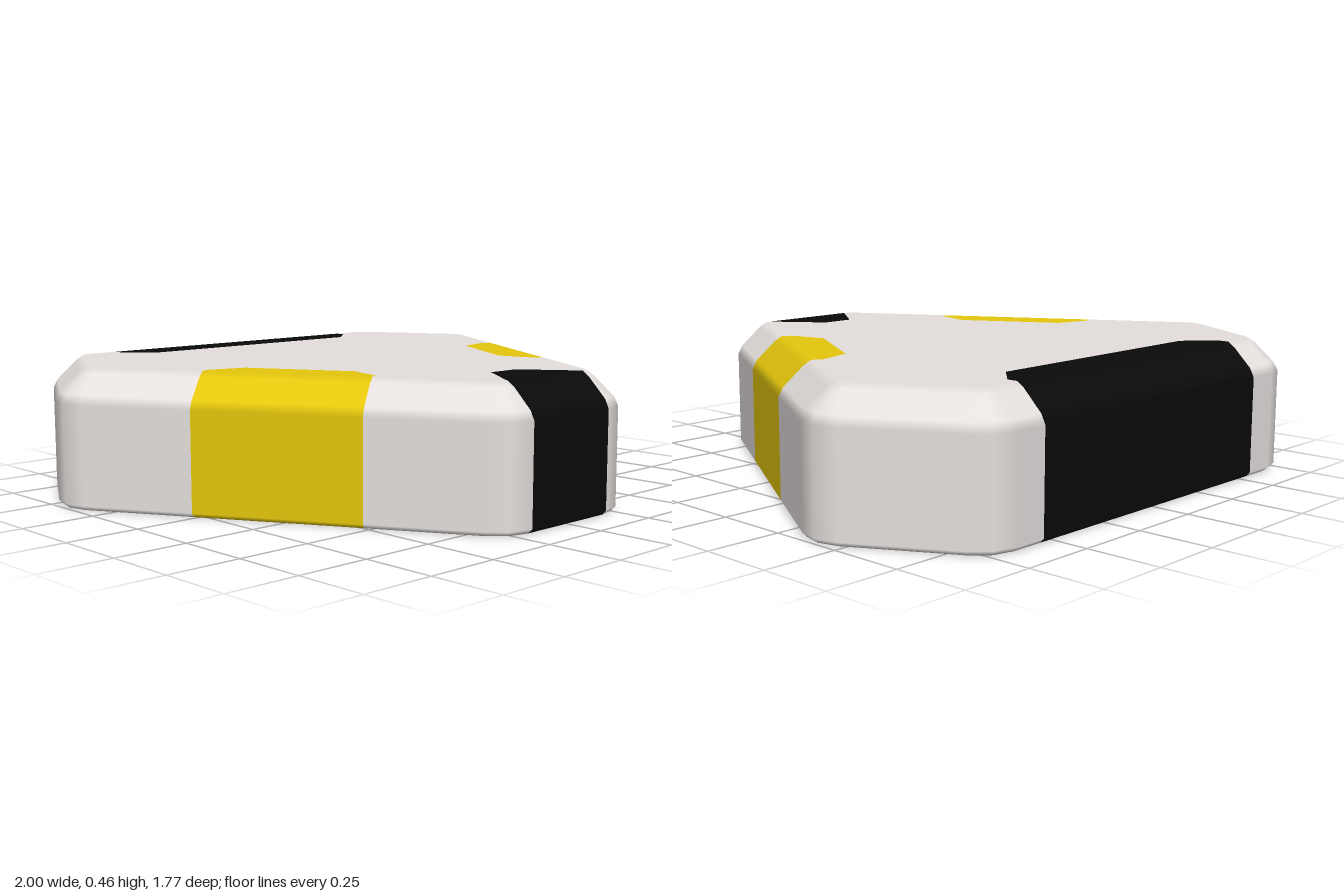
import * as THREE from 'three';

const BLACK = 0x0a0a0a, YELLOW = 0xe6c80d, SHELL = 0xe6e1df;
const R = 0.15; // corner radius in plan

// Six sides, 60 degrees apart: distance from the centre and an optional wrap-around pad
// (mid, half: position along the side; knee, depth, inner: outline on the flat faces)
const SIDES = [
  { d: 0.883, pad: { name: 'frontPad', color: BLACK, mid: 0, half: 0.185, knee: 0.11, depth: 0.28, inner: 0.06 } },
  { d: 0.68, pad: { name: 'leftPad', color: YELLOW, mid: 0.118, half: 0.282, knee: 0.142, depth: 0.235, inner: 0.187 } },
  { d: 1.09 },
  { d: 0.883, pad: { name: 'backPad', color: BLACK, mid: 0, half: 0.548, knee: 0.142, depth: 0.235, inner: 0.45 } },
  { d: 1.09 },
  { d: 0.68, pad: { name: 'rightPad', color: YELLOW, mid: -0.118, half: 0.282, knee: 0.142, depth: 0.235, inner: 0.187 } },
];

// Edge profile from bottom to top: inset, height, outward and upward normal
const PROFILE = [
  [0.015, 0, 0, -1], [0, 0.015, 1, 0], [0, 0.345, 1, 0],
  [0.015, 0.375, 0.71, 0.71], [0.08, 0.44, 0.71, 0.71], [0.105, 0.457, 0, 1],
];

// Plan outline, counter-clockwise from above; each point keeps its outward normal
function makeRing() {
  const ring = [];
  SIDES.forEach(({ d, pad }, i) => {
    const a = i * Math.PI / 3, n = [Math.sin(a), Math.cos(a)], t = [n[1], -n[0]];
    const at = (u, depth = 0) => [n[0] * (d - depth) + t[0] * u, n[1] * (d - depth) + t[1] * u];
    const cut = R * Math.tan(Math.PI / 6), s60 = Math.sin(Math.PI / 3);
    const start = -(SIDES[(i + 5) % 6].d - d / 2) / s60 + cut;
    const end = (SIDES[(i + 1) % 6].d - d / 2) / s60 - cut;
    const add = (p, normal, extra) => ring.push({ p, n: normal, ...extra });
    add(at(start), n);
    if (pad) {
      const { mid, half, knee, depth, inner } = pad;
      const route = [at(mid - half, knee), at(mid - inner, depth), at(mid + inner, depth), at(mid + half, knee)];
      add(at(mid - half), n, { pad, route });
      add(at(mid + half), n);
    }
    add(at(end), n);
    // middle of the rounded corner
    const c = at(end, R), m = [Math.sin(a + Math.PI / 6), Math.cos(a + Math.PI / 6)];
    add([c[0] + R * m[0], c[1] + R * m[1]], m);
  });
  return ring;
}

const inset = (q, s) => [q.p[0] - s * q.n[0], q.p[1] - s * q.n[1]];

// Collects triangles for one part
class Surface {
  constructor() { this.pos = []; this.nor = []; }
  vertex(p, y, n) { this.pos.push(p[0], y, p[1]); this.nor.push(...n); }
  // edge profile swept between two neighbouring outline points
  strip(a, b) {
    for (let k = 0; k < PROFILE.length - 1; k++) {
      const lo = PROFILE[k], hi = PROFILE[k + 1];
      for (const [q, r] of [[a, lo], [b, lo], [b, hi], [a, lo], [b, hi], [a, hi]]) {
        this.vertex(inset(q, r[0]), r[1], [q.n[0] * r[2], r[3], q.n[1] * r[2]]);
      }
    }
  }
  // flat face, top or bottom
  cap(points, y, up) {
    const flat = points.map(p => new THREE.Vector2(p[0], -p[1]));
    for (const f of THREE.ShapeUtils.triangulateShape(flat, [])) {
      for (const j of up ? f : [f[0], f[2], f[1]]) this.vertex(points[j], y, [0, up ? 1 : -1, 0]);
    }
  }
  mesh(name, color) {
    const g = new THREE.BufferGeometry();
    g.setAttribute('position', new THREE.Float32BufferAttribute(this.pos, 3));
    g.setAttribute('normal', new THREE.Float32BufferAttribute(this.nor, 3));
    g.normalizeNormals();
    const mesh = new THREE.Mesh(g, new THREE.MeshStandardMaterial({ color }));
    mesh.name = name;
    return mesh;
  }
}

export function createModel() {
  const group = new THREE.Group();
  group.name = 'triangularBlock';
  const ring = makeRing(), shell = new Surface();
  const faces = [[PROFILE[0], false], [PROFILE[PROFILE.length - 1], true]];

  // Pads wrap the side and both flat faces; the shell fills the rest
  ring.forEach((a, i) => {
    const b = ring[(i + 1) % ring.length];
    if (!a.pad) return shell.strip(a, b);
    const pad = new Surface();
    pad.strip(a, b);
    for (const [[s, y], up] of faces) {
      pad.cap([inset(a, s), inset(b, s), ...[...a.route].reverse()], y, up);
    }
    group.add(pad.mesh(a.pad.name, a.pad.color));
  });

  // Flat faces of the shell, stepping around the pads
  for (const [[s, y], up] of faces) {
    shell.cap(ring.flatMap(q => [inset(q, s), ...(q.route || [])]), y, up);
  }
  group.add(shell.mesh('shell', SHELL));
  return group;
}
